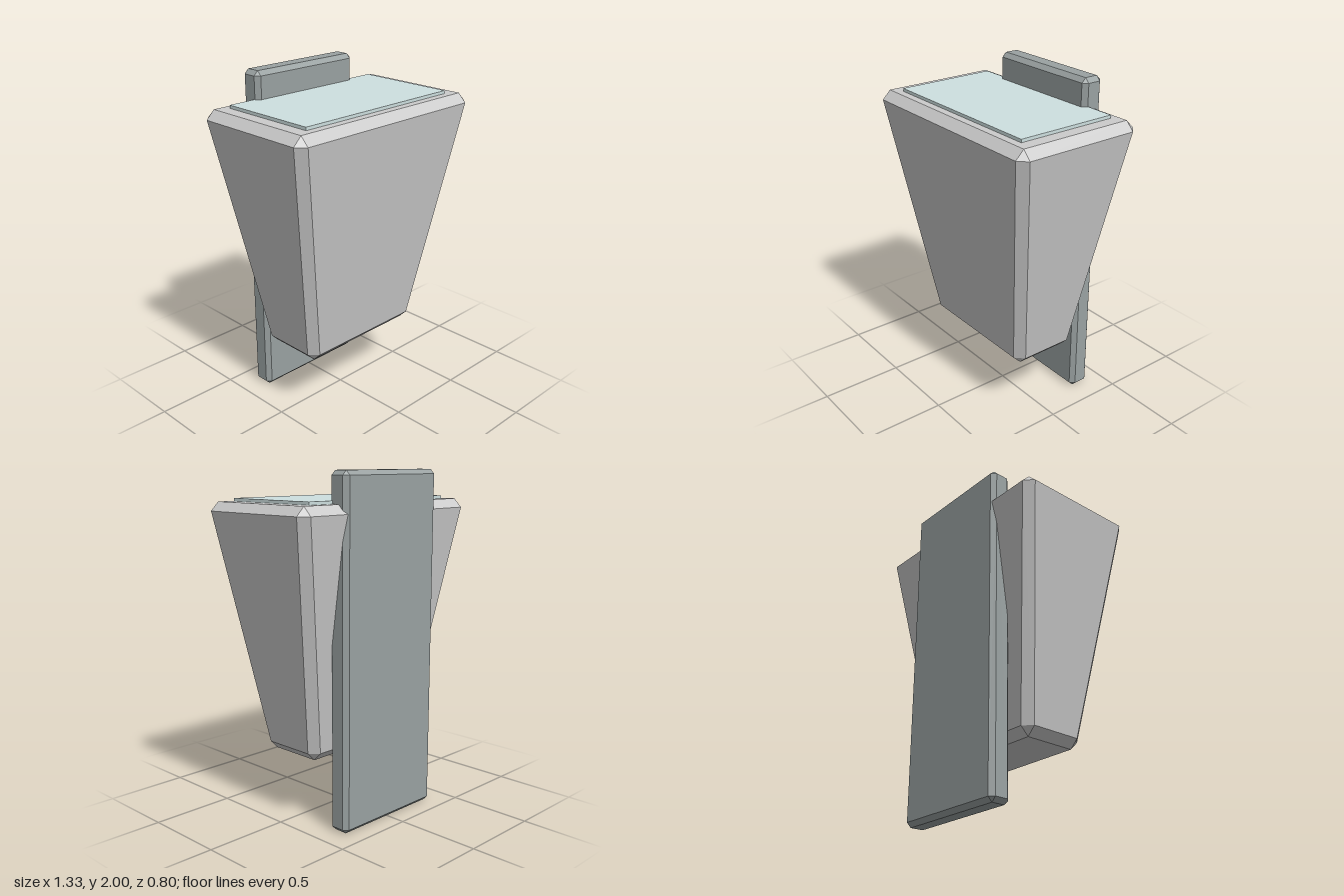
import * as THREE from 'three';
import { ConvexGeometry } from 'three/addons/geometries/ConvexGeometry.js';

// Chamfered box whose half-sizes may differ at the bottom and the top.
function chamferedBox(bottom, top, y0, y1, bevel) {
  const points = [];
  for (const sx of [-1, 1]) for (const sz of [-1, 1]) {
    for (const [[hx, hz], yEnd, ySide] of [[bottom, y0, y0 + bevel], [top, y1, y1 - bevel]]) {
      points.push(
        new THREE.Vector3(sx * (hx - bevel), yEnd, sz * (hz - bevel)),
        new THREE.Vector3(sx * hx, ySide, sz * (hz - bevel)),
        new THREE.Vector3(sx * (hx - bevel), ySide, sz * hz),
      );
    }
  }
  return new ConvexGeometry(points);
}

export function createModel() {
  const group = new THREE.Group();
  const grey = new THREE.MeshStandardMaterial({ color: 0xcccccc, flatShading: true });
  const metal = new THREE.MeshStandardMaterial({ color: 0x9aa2a2, flatShading: true });
  const glass = new THREE.MeshStandardMaterial({ color: 0xcee0e0, flatShading: true });

  const add = (name, geometry, material, y, z) => {
    const mesh = new THREE.Mesh(geometry, material);
    mesh.name = name;
    mesh.position.set(0, y, z);
    group.add(mesh);
  };

  // Upright wall plate
  add('wallPlate', chamferedBox([0.37, 0.066], [0.37, 0.066], 0, 2, 0.026), metal, 0, -0.334);

  // Tapered lamp shade, wider at the top
  add('shade', chamferedBox([0.425, 0.208], [0.665, 0.397], 0.385, 1.825, 0.05), grey, 0, 0.003);

  // Thin glass panel on top of the shade
  add('glassPanel', new THREE.BoxGeometry(1.08, 0.04, 0.605), glass, 1.823, 0.002);

  // Eight-sided post joining shade and plate
  add('mountPost', new THREE.CylinderGeometry(0.135, 0.135, 0.335, 8), metal, 0.4425, -0.2);

  return group;
}
